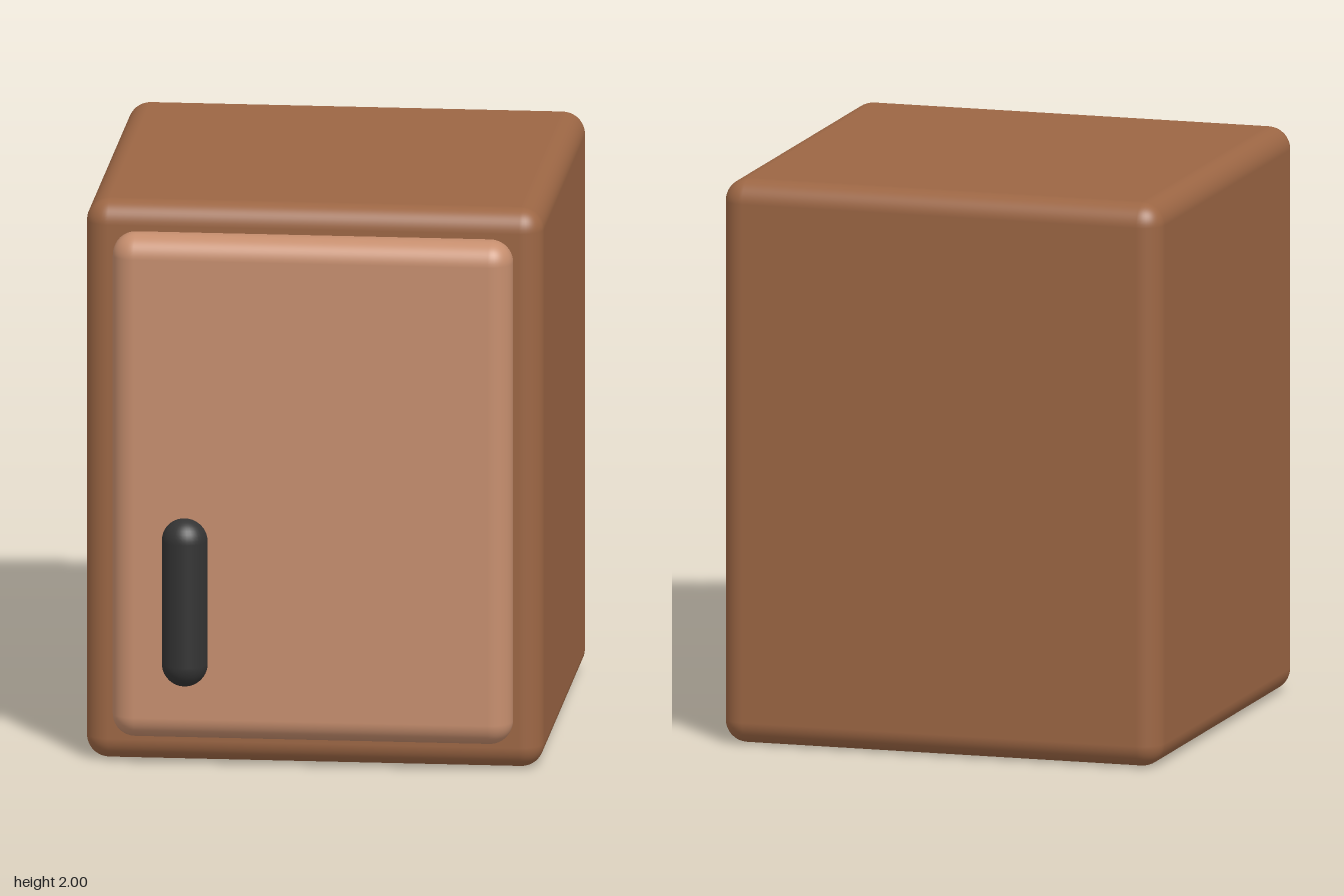
import * as THREE from 'three';
import { RoundedBoxGeometry } from 'three/addons/geometries/RoundedBoxGeometry.js';

function part(name, geometry, color, x, y, z) {
  const mesh = new THREE.Mesh(geometry, new THREE.MeshStandardMaterial({ color }));
  mesh.name = name;
  mesh.position.set(x, y, z);
  return mesh;
}

export function createModel() {
  const cabinet = new THREE.Group();
  cabinet.name = 'cabinet';

  cabinet.add(
    // Rounded carcass
    part('body', new RoundedBoxGeometry(1.6, 2, 1.6, 6, 0.08), 0x9c6644, 0, 1, -0.09),
    // Door panel, half sunk into the body front
    part('door', new RoundedBoxGeometry(1.4, 1.8, 0.2, 6, 0.08), 0xc68e6e, 0, 1, 0.71),
    // Upright handle, half sunk into the door
    part('handle', new THREE.CapsuleGeometry(0.08, 0.44, 10, 32), 0x333333, -0.44, 0.6, 0.81)
  );
  return cabinet;
}
